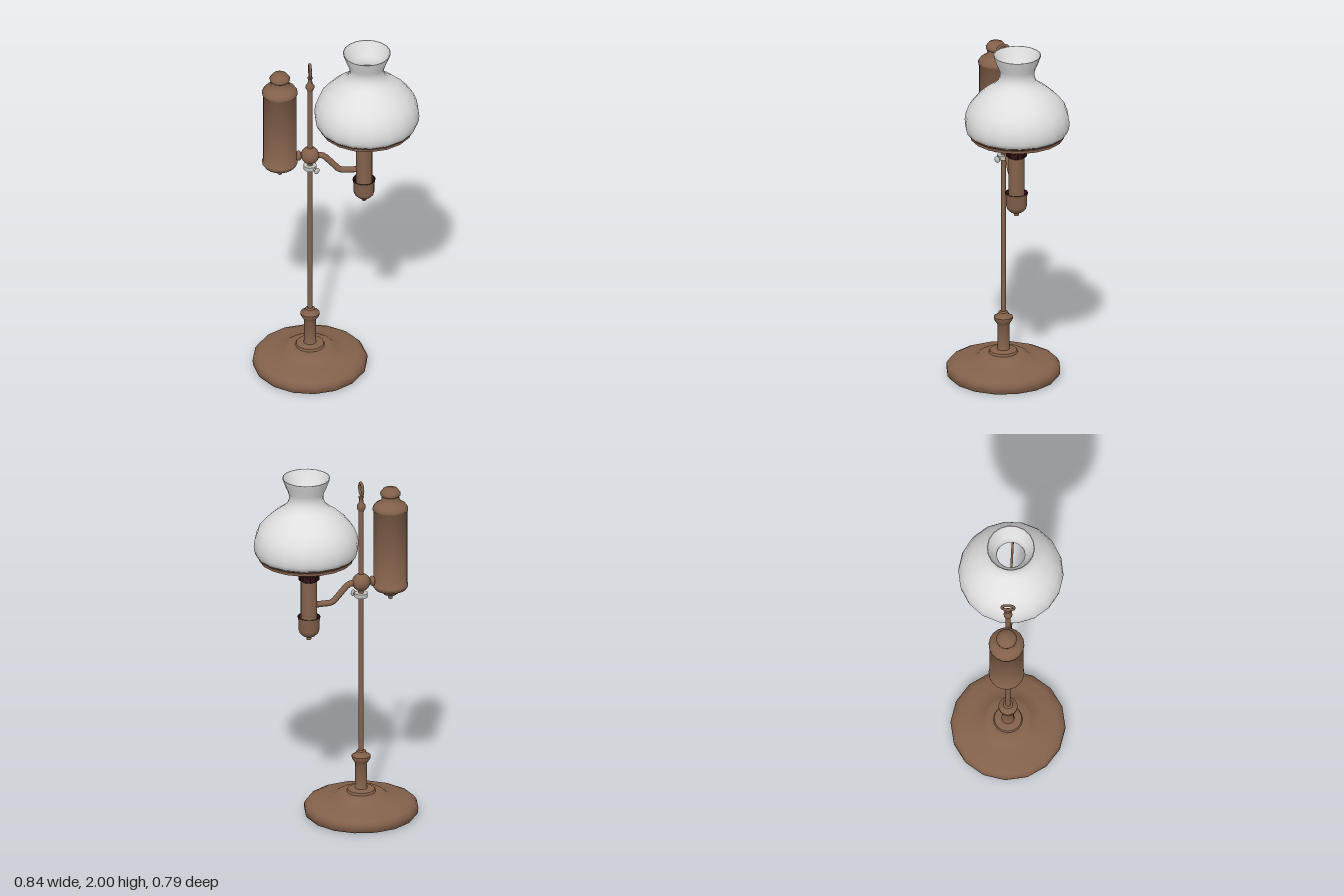
import * as THREE from 'three';
import { toCreasedNormals } from 'three/addons/utils/BufferGeometryUtils.js';

const brass = new THREE.MeshStandardMaterial({ color: 0x83614b, side: THREE.DoubleSide });
brass.name = 'brown brass';
const glass = new THREE.MeshStandardMaterial({ color: 0xe0e0e0, side: THREE.DoubleSide });
glass.name = 'white glass';
const lining = new THREE.MeshStandardMaterial({ color: 0x80827f, side: THREE.DoubleSide });
lining.name = 'grey shade lining';
const dark = new THREE.MeshStandardMaterial({ color: 0x2e1014, side: THREE.DoubleSide });
dark.name = 'dark burner metal';
const steel = new THREE.MeshStandardMaterial({ color: 0xc0c0bb });
steel.name = 'grey steel';

export function createModel() {
  const model = new THREE.Group();
  // Everything hangs on the pole; local +x runs along the arm.
  const lamp = new THREE.Group();
  lamp.name = 'lamp';
  lamp.position.set(-0.11, 0, -0.085);
  lamp.rotation.y = -THREE.MathUtils.degToRad(38);
  model.add(lamp);

  const add = (name, geometry, material, x = 0, y = 0, z = 0) => {
    const mesh = new THREE.Mesh(geometry, material);
    mesh.name = name;
    mesh.position.set(x, y, z);
    lamp.add(mesh);
    return mesh;
  };
  // Turned part from [radius, height] pairs, listed bottom to top.
  const turn = (name, profile, material, x = 0, sides = 16) => add(name,
    toCreasedNormals(new THREE.LatheGeometry(profile.map(p => new THREE.Vector2(...p)), sides), 0.9),
    material, x);
  const pipe = (name, points, radius) => {
    const path = new THREE.CurvePath();
    const v = points.map(p => new THREE.Vector3(...p));
    for (let i = 1; i < v.length; i++) path.add(new THREE.LineCurve3(v[i - 1], v[i]));
    return add(name, new THREE.TubeGeometry(path, 48, radius, 10), brass);
  };

  // Hollow foot, stem and pole
  turn('base', [[0.3, 0], [0.312, 0.015], [0.313, 0.045], [0.3, 0.066], [0.27, 0.08], [0.2, 0.09],
    [0.15, 0.106], [0.13, 0.122], [0.118, 0.128], [0.08, 0.13], [0.075, 0.143], [0.05, 0.148], [0.033, 0.15]], brass);
  turn('baseNut', [[0, 0.085], [0.035, 0.085], [0.045, 0.1], [0.045, 0.125], [0.09, 0.13]], brass);
  turn('stem', [[0.04, 0.14], [0.033, 0.155], [0.033, 0.295], [0.04, 0.305], [0.052, 0.325], [0.052, 0.338],
    [0.03, 0.35], [0.026, 0.365], [0.014, 0.37]], brass);
  add('pole', new THREE.CylinderGeometry(0.014, 0.014, 1.44, 12), brass, 0, 1.08);

  // Finial with carrying ring
  turn('finial', [[0.014, 1.77], [0.024, 1.79], [0.024, 1.805], [0.013, 1.82], [0.011, 1.845],
    [0.016, 1.855], [0, 1.868]], brass, 0, 12);
  add('carryingRing', new THREE.TorusGeometry(0.034, 0.008, 8, 20), brass, 0, 1.9).rotation.y = Math.PI / 2;

  // Clamp and thumb screw, which points to the front
  add('clampCollar', new THREE.CylinderGeometry(0.036, 0.036, 0.024, 16), steel, 0, 1.28);
  const screw = new THREE.Group();
  screw.name = 'thumbScrew';
  screw.position.y = 1.278;
  screw.rotation.y = -lamp.rotation.y;
  lamp.add(screw);
  const shaft = add('screwShaft', new THREE.CylinderGeometry(0.008, 0.008, 0.03, 8), steel, 0, 0, 0.042);
  shaft.rotation.x = Math.PI / 2;
  const grip = add('screwGrip', new THREE.SphereGeometry(0.018, 12, 8), steel, 0, 0, 0.055);
  grip.scale.z = 0.5;
  screw.add(shaft, grip);

  // Central ball and arms
  add('armHub', new THREE.SphereGeometry(0.05, 18, 12), brass, 0, 1.355);
  pipe('tankArm', [[0, 1.355, 0], [-0.1, 1.355, 0]], 0.018);
  add('tankArmBead', new THREE.SphereGeometry(0.028, 14, 10), brass, -0.062, 1.355).scale.x = 0.6;
  pipe('burnerArm', [[0, 1.355, 0], [0.065, 1.352, 0], [0.085, 1.338, 0], [0.155, 1.26, 0],
    [0.175, 1.251, 0], [0.29, 1.25, 0]], 0.017);

  // Oil tank
  turn('oilTank', [[0, 1.236], [0.011, 1.242], [0.013, 1.252], [0.008, 1.262], [0.035, 1.268], [0.05, 1.282],
    [0.058, 1.292], [0.085, 1.3], [0.097, 1.318], [0.097, 1.328], [0.092, 1.333], [0.092, 1.757], [0.097, 1.762],
    [0.097, 1.775], [0.086, 1.792], [0.06, 1.808], [0.05, 1.822], [0.047, 1.842], [0.055, 1.85],
    [0.056, 1.862], [0.048, 1.872], [0.04, 1.884], [0, 1.888]], brass, -0.165, 18);

  // Burner column and drip cup, dark inside
  const bx = 0.295;
  turn('burnerColumn', [[0.045, 1.17], [0.045, 1.4], [0.038, 1.405]], brass, bx);
  turn('dripCup', [[0, 1.046], [0.012, 1.05], [0.015, 1.06], [0.01, 1.07], [0.035, 1.075], [0.052, 1.092],
    [0.057, 1.11], [0.057, 1.155], [0.063, 1.185]], brass, bx);
  turn('dripCupInside', [[0.063, 1.185], [0.059, 1.185], [0.052, 1.165], [0.044, 1.163]], dark, bx);

  // Dark gallery with a toothed crown
  turn('burnerGallery', [[0.045, 1.395], [0.053, 1.4], [0.053, 1.42], [0.045, 1.43], [0.045, 1.47],
    [0.036, 1.48], [0.034, 1.54], [0.026, 1.55]], dark, bx);
  const teeth = 12;
  for (let i = 0; i < teeth; i++) {
    const a = i / teeth * Math.PI * 2;
    add('crownTooth', new THREE.BoxGeometry(0.012, 0.075, 0.014), dark,
      bx + 0.052 * Math.cos(a), 1.442, 0.052 * Math.sin(a)).rotation.y = -a;
  }
  add('crownRim', new THREE.TorusGeometry(0.056, 0.006, 6, 18), dark, bx, 1.472).rotation.x = Math.PI / 2;
  add('crownPlate', new THREE.RingGeometry(0.04, 0.05, 18), brass, bx, 1.474).rotation.x = -Math.PI / 2;
  turn('wickTube', [[0.026, 1.46], [0.026, 1.56], [0.018, 1.56], [0.018, 1.46]], brass, bx);
  turn('flameSpreader', [[0.012, 1.5], [0.012, 1.575], [0.006, 1.585], [0.005, 1.63], [0, 1.635]], dark, bx, 10);
  for (const turnY of [0, Math.PI / 2]) {
    add('burnerCross', new THREE.BoxGeometry(0.11, 0.008, 0.008), dark, bx, 1.565).rotation.y = turnY;
  }

  // Shade holder: ring, thin upper band and four spokes with brown tops
  const sx = 0.31;
  turn('shadeRing', [[0.243, 1.525], [0.257, 1.523], [0.258, 1.538], [0.243, 1.54], [0.243, 1.525]], brass, sx, 18);
  turn('shadeSeat', [[0.25, 1.538], [0.268, 1.546], [0.27, 1.551], [0.25, 1.548]], brass, sx, 18);
  const spokeFaces = [dark, dark, brass, dark, dark, dark];
  for (let i = 0; i < 4; i++) {
    const a = i * Math.PI / 2;
    const length = 0.215 + (sx - bx) * Math.cos(a);
    add('shadeSpoke', new THREE.BoxGeometry(length, 0.012, 0.012), spokeFaces,
      bx + (0.033 + length / 2) * Math.cos(a), 1.532, (0.033 + length / 2) * Math.sin(a)).rotation.y = -a;
  }

  // Glass shade: outside going up, then down the inside of the funnel
  turn('shade', [[0.262, 1.55], [0.276, 1.556], [0.284, 1.58], [0.287, 1.61], [0.281, 1.65], [0.262, 1.7],
    [0.225, 1.745], [0.175, 1.79], [0.13, 1.822], [0.105, 1.848], [0.095, 1.875], [0.094, 1.9], [0.1, 1.92],
    [0.115, 1.955], [0.131, 2], [0.127, 2], [0.108, 1.955], [0.088, 1.92], [0.077, 1.9], [0.078, 1.875]], glass, sx, 18);
  // Lining of the dome, seen from below
  turn('shadeLining', [[0.078, 1.875], [0.09, 1.845], [0.12, 1.812], [0.165, 1.778], [0.215, 1.735],
    [0.25, 1.69], [0.27, 1.645], [0.276, 1.61], [0.273, 1.58], [0.262, 1.55]], lining, sx, 18);

  return model;
}
